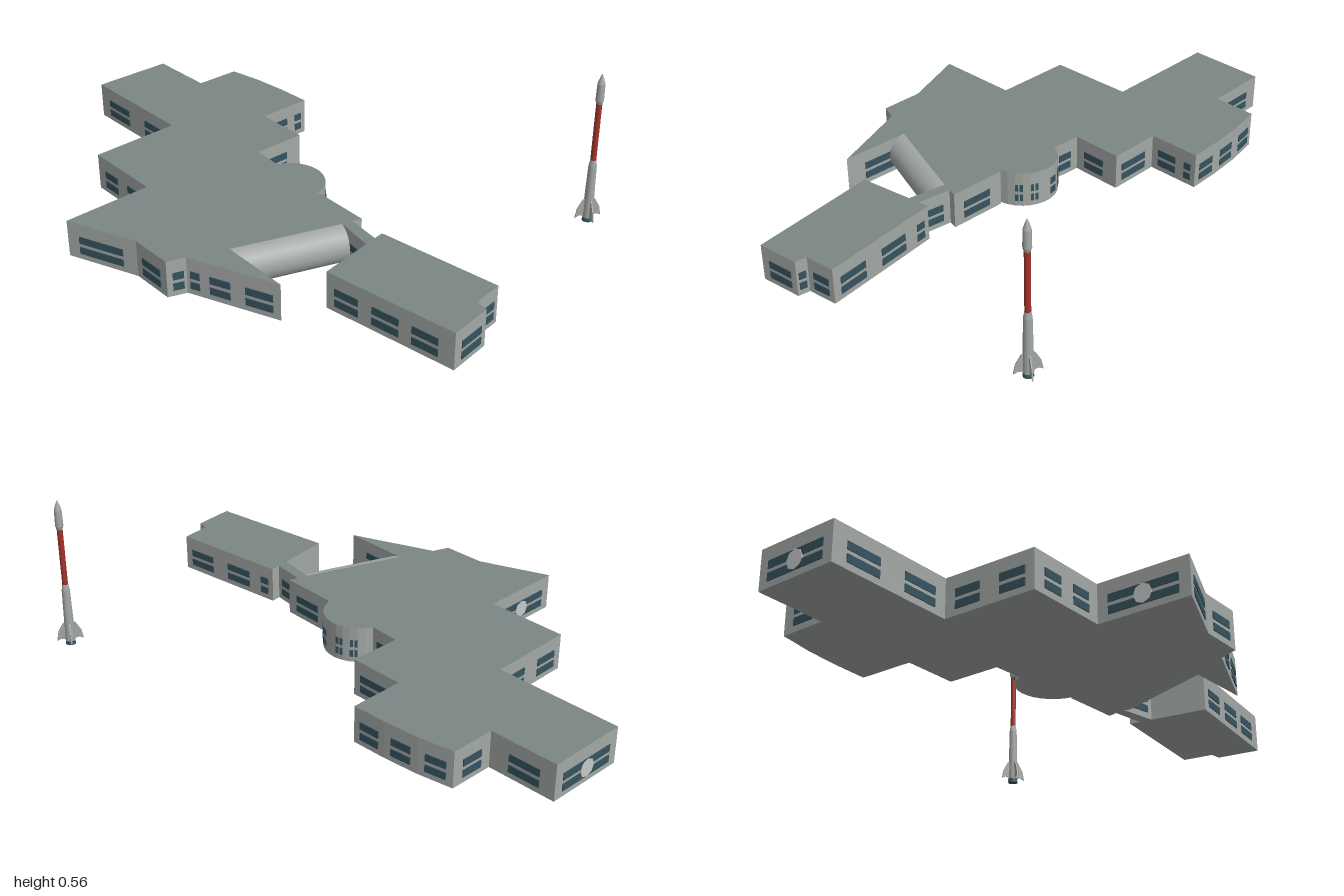
import * as THREE from 'three';

const H = 0.133;
const mat = (name, color, extra = {}) => {
  const m = new THREE.MeshStandardMaterial({ color, ...extra });
  m.name = name;
  return m;
};

export function createModel() {
  const wall = mat('wall grey', 0xa3a8a5);
  const roof = mat('roof slate', 0x7a8685);
  const glass = mat('window teal', 0x35535f);
  const panel = mat('light panel', 0xc4c9c6);
  const red = mat('rocket red', 0xa2342a);
  const model = new THREE.Group();
  model.name = 'campusWithRocket';

  const add = (parent, name, geo, material) => {
    const m = new THREE.Mesh(geo, material);
    m.name = name;
    parent.add(m);
    return m;
  };

  // Thin plate on the wall a -> b between fractions f0 and f1
  const plate = (parent, name, geoFor, material, a, b, f0, f1, y, lift) => {
    const dx = b[0] - a[0], dz = b[1] - a[1], len = Math.hypot(dx, dz);
    const nx = dz / len, nz = -dx / len, f = (f0 + f1) / 2;
    const m = add(parent, name, geoFor(len * (f1 - f0)), material);
    m.position.set(a[0] + dx * f + nx * lift, y, a[1] + dz * f + nz * lift);
    m.rotation.y = Math.atan2(nx, nz);
  };

  // Building from a plan; each corner: x, z, window spans on the wall that follows, badge flag
  const building = (name, plan) => {
    const g = new THREE.Group();
    g.name = name;
    const shape = new THREE.Shape(plan.map(([x, z]) => new THREE.Vector2(x, -z)));
    const geo = new THREE.ExtrudeGeometry(shape, { depth: H, bevelEnabled: false });
    const [caps, sides] = geo.groups.map((q) => ({ ...q }));
    geo.clearGroups();
    geo.addGroup(0, caps.count / 2, 0);
    geo.addGroup(caps.count / 2, caps.count / 2, 1);
    geo.addGroup(sides.start, sides.count, 0);
    geo.rotateX(-Math.PI / 2);
    add(g, name + 'Shell', geo, [wall, roof]);
    plan.forEach((a, i) => {
      const b = plan[(i + 1) % plan.length];
      for (const [f0, f1] of a[2] || [])
        for (const y of [0.034, 0.073])
          plate(g, 'window', (w) => new THREE.BoxGeometry(w, 0.026, 0.004), glass, a, b, f0, f1, y, 0.001);
      if (a[3])
        plate(g, 'wallPanel', () => {
          const p = new THREE.CylinderGeometry(0.032, 0.032, 0.004, 8);
          return p.rotateX(Math.PI / 2);
        }, panel, a, b, 0.45, 0.55, 0.054, 0.003);
    });
    model.add(g);
  };

  // Round bay on the east side
  const bay = [];
  const N = 12, a0 = -1.72, a1 = 0.95;
  for (let i = 0; i <= N; i++) {
    const t = a0 + ((a1 - a0) * i) / N;
    const lit = i === 2 || i === 4 || i === 7 || i === 9;
    bay.push([-0.135 + 0.122 * Math.cos(t), 0.04 + 0.125 * Math.sin(t), lit ? [[0.0, 0.4], [0.6, 1]] : []]);
  }

  building('mainBuilding', [
    [-0.43, -1, [[0.23, 0.7]]],
    [-0.31, -0.785, [[0.25, 0.75]]],
    [-0.165, -0.86, [[0.2, 0.78]]],
    [-0.085, -0.76, [[0.2, 0.8]]],
    [-0.015, -0.655, [[0.2, 0.8]]],
    [0.05, -0.545, [[0.1, 0.25], [0.45, 0.85]]],
    [-0.125, -0.45, [[0.22, 0.85]]],
    [-0.03, -0.275, [[0.33, 0.8]]],
    [-0.2, -0.185, [[0.3, 0.8]]],
    ...bay,
    [-0.055, 0.145, [[0.25, 0.8]]],
    [0.04, 0.335],
    [-0.03, 0.35],
    [-0.41, 0.41, [[0.15, 0.7]]],
    [-0.295, 0.64, [[0.08, 0.37], [0.53, 0.75], [0.86, 0.96]]],
    [-0.55, 0.425, [[0.15, 0.7]]],
    [-0.615, 0.435, [[0.2, 0.8]]],
    [-0.69, 0.295, [[0.2, 0.83]]],
    [-0.895, 0.12, [[0.12, 0.88]], true],
    [-0.615, -0.035, [[0.15, 0.4], [0.6, 0.85]]],
    [-0.755, -0.3, [[0.1, 0.38], [0.6, 0.88]]],
    [-0.47, -0.46, [[0.1, 0.38], [0.6, 0.88]]],
    [-0.69, -0.865, [[0.12, 0.88]], true],
  ]);

  building('southWing', [
    [0.08, 0.435, [[0.05, 0.13], [0.26, 0.51], [0.68, 0.93]]],
    [0.34, 0.8, [[0.18, 0.78]]],
    [0.25, 0.865, [[0.2, 0.8]]],
    [0.265, 0.905, [[0.15, 0.78]]],
    [0.14, 0.995, [[0.12, 0.32], [0.42, 0.63], [0.74, 0.93]]],
    [-0.145, 0.605],
  ]);

  building('linkCorridor', [
    [0.002, 0.33, [[0.3, 0.8]]],
    [0.052, 0.462],
    [0.018, 0.495, [[0.2, 0.7]]],
    [-0.032, 0.345],
  ]);

  // Bulging half-round entrance front
  const start = new THREE.Vector3(-0.41, 0, 0.41), end = new THREE.Vector3(-0.03, 0, 0.35);
  const along = end.clone().sub(start);
  const bulgeGeo = new THREE.CylinderGeometry(H / 2, H / 2, along.length(), 12, 1, false, 0, Math.PI);
  along.normalize();
  const up = new THREE.Vector3(0, 1, 0);
  const out = along.clone().cross(up);
  bulgeGeo.applyMatrix4(new THREE.Matrix4().makeBasis(out, along, up));
  add(model, 'roundedEntrance', bulgeGeo, wall)
    .position.copy(start).add(end).multiplyScalar(0.5).setY(H / 2);

  // Rocket
  const rocket = new THREE.Group();
  rocket.name = 'rocket';
  rocket.position.set(0.848, 0, 0.317);
  model.add(rocket);
  const tube = (name, y0, y1, r0, r1, m) =>
    add(rocket, name, new THREE.CylinderGeometry(r1, r0, y1 - y0, 16), m).position.y = (y0 + y1) / 2;
  tube('nozzle', 0, 0.022, 0.018, 0.014, glass);
  tube('lowerStage', 0.015, 0.215, 0.018, 0.014, wall);
  tube('lowerStageCollar', 0.215, 0.237, 0.014, 0.01, wall);
  tube('redStage', 0.237, 0.45, 0.01, 0.01, red);
  tube('upperStageCollar', 0.447, 0.46, 0.01, 0.014, wall);
  tube('upperStage', 0.46, 0.52, 0.014, 0.013, wall);
  tube('noseCone', 0.52, 0.545, 0.013, 0.005, wall);
  tube('noseTip', 0.545, 0.555, 0.005, 0.001, wall);

  // Four tail fins
  const fin = new THREE.Shape([[0.01, 0.088], [0.022, 0.082], [0.04, 0.05], [0.047, 0.015], [0.032, 0.022], [0.01, 0.018]]
    .map(([x, y]) => new THREE.Vector2(x, y)));
  const finGeo = new THREE.ExtrudeGeometry(fin, { depth: 0.004, bevelEnabled: false }).translate(0, 0, -0.002);
  for (let i = 0; i < 4; i++) add(rocket, 'fin', finGeo, wall).rotation.y = (i * Math.PI) / 2;

  return model;
}
